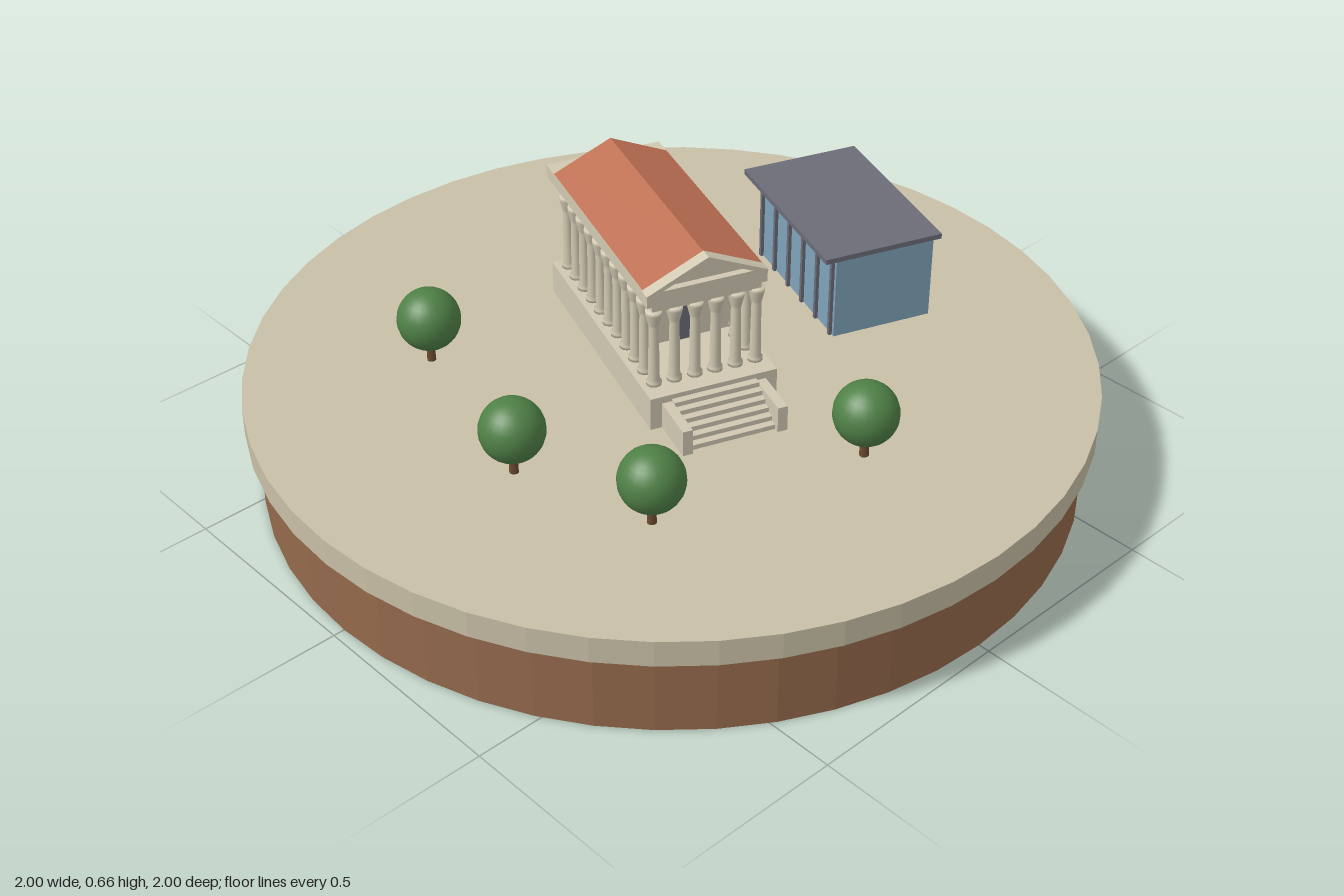
import * as THREE from 'three';

const mat = (name, color, extra = {}) => {
  const m = new THREE.MeshStandardMaterial({ color, ...extra });
  m.name = name;
  return m;
};

export function createModel() {
  const ground = mat('sandGround', 0xc8bfa6);
  const stone = mat('paleStone', 0xd0c8b1);
  const tile = mat('terracotta', 0xbd6f52);
  const earth = mat('earth', 0x94694c);
  const glass = mat('blueGlass', 0x7fa3b9);
  const slate = mat('slate', 0x6c6c78);
  const leaf = mat('leaf', 0x4f8046);
  const bark = mat('bark', 0x6b4a30);
  earth.flatShading = ground.flatShading = true;

  const model = new THREE.Group();
  model.name = 'templeDiorama';

  const add = (parent, name, geo, material, x = 0, y = 0, z = 0) => {
    const m = new THREE.Mesh(geo, material);
    m.name = name;
    m.position.set(x, y, z);
    parent.add(m);
    return m;
  };
  // Box given by its limits on each axis
  const box = (parent, name, material, x0, x1, y0, y1, z0, z1) =>
    add(parent, name, new THREE.BoxGeometry(x1 - x0, y1 - y0, z1 - z0), material,
      (x0 + x1) / 2, (y0 + y1) / 2, (z0 + z1) / 2);

  // Round base
  const G = 0.265;
  add(model, 'earthBase', new THREE.CylinderGeometry(0.973, 0.973, 0.2, 48), earth, 0, 0.1, 0);
  add(model, 'groundSlab', new THREE.CylinderGeometry(1, 1, G - 0.2, 48), ground, 0, (G + 0.2) / 2, 0);

  // Both buildings share one turned grid
  const town = new THREE.Group();
  town.name = 'buildings';
  town.rotation.y = -THREE.MathUtils.degToRad(20);
  model.add(town);

  // Temple: podium, stairs and cella
  const temple = new THREE.Group();
  temple.name = 'temple';
  town.add(temple);
  const P = 0.348;
  box(temple, 'podium', stone, -0.157, 0.154, G, P, -0.373, 0.25);
  const steps = 6;
  for (let i = 0; i < steps; i++) {
    const top = P - ((i + 1) * (P - G)) / (steps + 1);
    box(temple, 'step', stone, -0.105, 0.102, G, top, 0.25, 0.25 + (i + 1) * 0.0175);
  }
  for (const [a, b] of [[-0.129, -0.105], [0.102, 0.126]])
    box(temple, 'stairWall', stone, a, b, G, 0.33, 0.25, 0.368);
  box(temple, 'cella', stone, -0.122, 0.122, P, 0.545, -0.355, 0.05);
  box(temple, 'door', slate, -0.026, 0.026, P, 0.488, 0.05, 0.056);

  // Columns: one lathe profile for base, shaft and flared capital
  const profile = [[0, 0], [0.018, 0], [0.018, 0.008], [0.0135, 0.014], [0.0115, 0.155],
    [0.0135, 0.163], [0.019, 0.188], [0.019, 0.197], [0, 0.197]]
    .map(([r, y]) => new THREE.Vector2(r, y));
  const columnGeo = new THREE.LatheGeometry(profile, 14);
  const frontZ = 0.193;
  for (let i = 0; i < 6; i++)
    add(temple, 'frontColumn', columnGeo, stone, -0.125 + i * 0.05, P, frontZ);
  for (const s of [-1, 1])
    for (let i = 1; i < 11; i++)
      add(temple, 'sideColumn', columnGeo, stone, s * 0.125, P, frontZ - i * 0.0535);

  // Entablature and projecting cornice
  box(temple, 'architrave', stone, -0.132, 0.132, 0.543, 0.562, -0.365, 0.202);
  box(temple, 'cornice', stone, -0.147, 0.144, 0.562, 0.594, -0.42, 0.208);

  // Gabled roof, and a front pediment with a sunken panel
  const tri = (Type, w, y0, y1) => {
    const s = new Type();
    s.moveTo(-w, y0);
    s.lineTo(w, y0);
    s.lineTo(0, y1);
    s.closePath();
    return s;
  };
  const gable = (shape, depth) => new THREE.ExtrudeGeometry(shape, { depth, bevelEnabled: false });
  add(temple, 'tiledRoof', gable(tri(THREE.Shape, 0.145, 0, 0.066), 0.553), tile, -0.001, 0.594, -0.372);
  const frame = tri(THREE.Shape, 0.147, 0, 0.068);
  frame.holes.push(tri(THREE.Path, 0.108, 0.006, 0.056));
  add(temple, 'pedimentFrame', gable(frame, 0.03), stone, -0.001, 0.594, 0.181);
  add(temple, 'pedimentPanel', gable(tri(THREE.Shape, 0.125, 0.001, 0.06), 0.012), stone, -0.001, 0.594, 0.182);

  // Glass hall with flat overhanging roof
  const hall = new THREE.Group();
  hall.name = 'glassHall';
  town.add(hall);
  box(hall, 'hallBody', glass, 0.387, 0.642, G, 0.484, -0.339, 0.074);
  box(hall, 'hallRoof', slate, 0.351, 0.654, 0.484, 0.497, -0.368, 0.09);
  for (let i = 0; i < 6; i++) {
    const z = -0.325 + i * 0.077;
    box(hall, 'mullion', slate, 0.379, 0.387, G, 0.484, z - 0.005, z + 0.005);
  }

  // Trees
  const crownGeo = new THREE.SphereGeometry(0.075, 24, 16);
  const trunkGeo = new THREE.CylinderGeometry(0.009, 0.011, 0.06, 10);
  for (const [x, z] of [[-0.42, -0.375], [-0.555, 0.09], [-0.453, 0.425], [0.05, 0.57]]) {
    const tree = new THREE.Group();
    tree.name = 'tree';
    tree.position.set(x, G, z);
    model.add(tree);
    add(tree, 'trunk', trunkGeo, bark, 0, 0.03, 0);
    add(tree, 'crown', crownGeo, leaf, 0, 0.114, 0);
  }
  return model;
}
